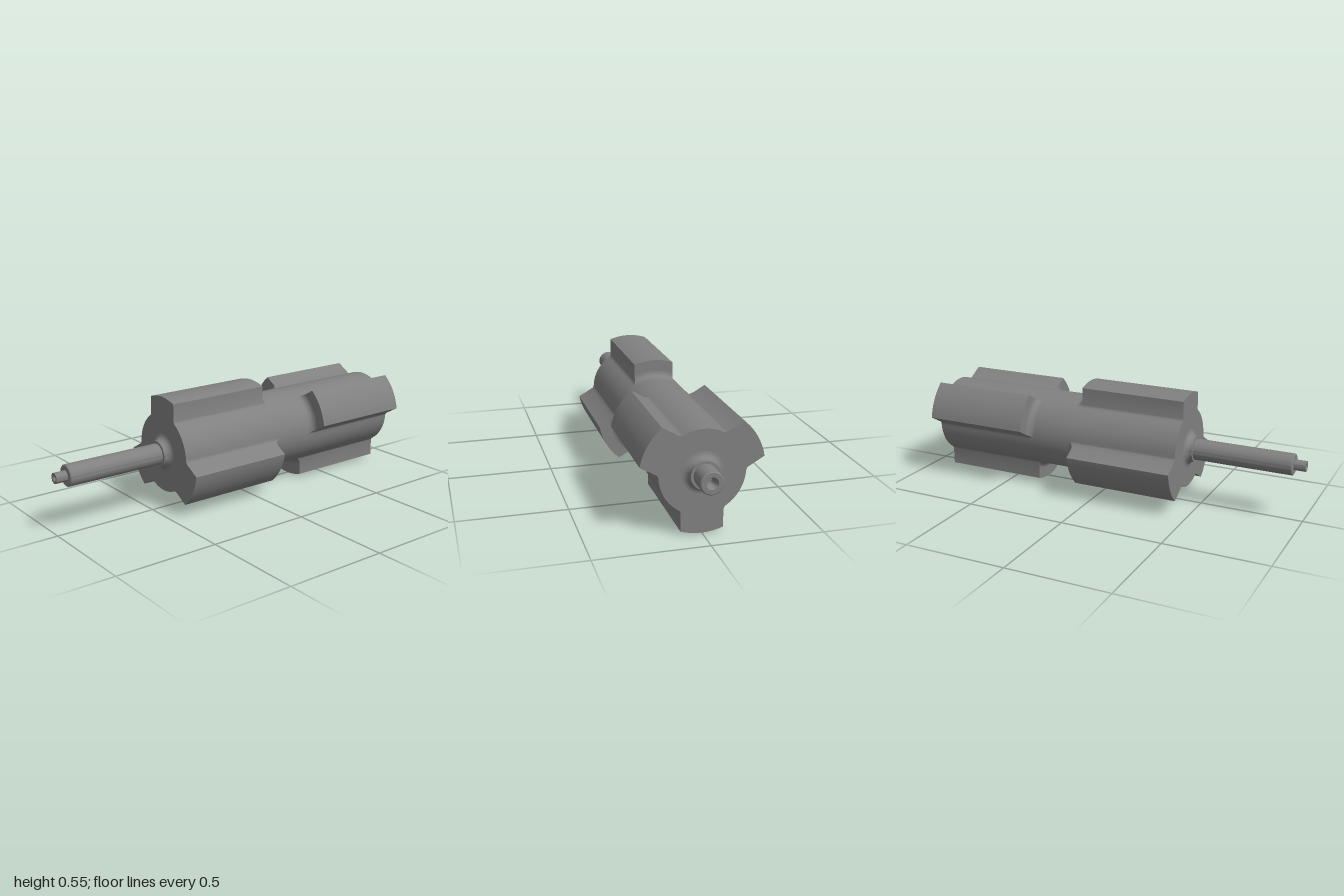
import * as THREE from 'three';
import { toCreasedNormals } from 'three/addons/utils/BufferGeometryUtils.js';

const OUTER = 0.273;    // lobe tip radius, also the height of the axis
const CORE = 0.19;      // core radius
const HALF = 0.094;     // half width of a lobe
const SIDE = 0.02;      // fillet between lobe side and core
const END = 0.03;       // fillet between lobe end and core

// Positions of the section faces along the axis
const FRONT = 0.432, FRONT_INNER = -0.095, REAR_INNER = -0.349, REAR = -0.874;

const material = new THREE.MeshStandardMaterial({ color: 0x808080 });
const deg = THREE.MathUtils.degToRad;

function add(parent, name, geometry) {
  const mesh = new THREE.Mesh(toCreasedNormals(geometry, 0.5), material);
  mesh.name = name;
  parent.add(mesh);
}

// Half angle a lobe covers at radius r, flaring out near the core
const filletDist = CORE + SIDE;
const filletAngle = Math.asin((HALF + SIDE) / filletDist);
const filletTop = Math.hypot(filletDist * Math.cos(filletAngle), HALF);
function halfAngle(r) {
  if (r >= filletTop) return Math.asin(HALF / r);
  const c = (r * r + filletDist ** 2 - SIDE ** 2) / (2 * r * filletDist);
  return filletAngle - Math.acos(Math.min(1, c));
}

// Outline of the core with three lobes
function lobedShape(angles) {
  const points = [];
  const polar = (r, a) => points.push(new THREE.Vector2(r * Math.cos(a), r * Math.sin(a)));
  const sideRadii = [0, 0.08, 0.3, 0.6, 1].map(t => CORE + t * (filletTop - CORE));
  const root = halfAngle(CORE), tip = halfAngle(OUTER);
  for (const a of angles) {
    for (const r of sideRadii) polar(r, a - halfAngle(r));
    for (let i = 0; i <= 10; i++) polar(OUTER, a + tip * (i / 5 - 1));
    for (const r of [...sideRadii].reverse()) polar(r, a + halfAngle(r));
    const gap = deg(120) - 2 * root;
    for (let i = 1; i < 10; i++) polar(CORE, a + root + gap * i / 10);
  }
  return new THREE.Shape(points);
}

// Concave fillet from a lobe's inner end down to the core, with closed sides
function endFillet(a, z0, dir) {
  const cols = 14, rows = 8;
  const geo = new THREE.PlaneGeometry(1, 1, cols, rows);
  const pos = geo.attributes.position;
  for (let i = 0; i < pos.count; i++) {
    const j = i % (cols + 1);
    const t = (pos.getY(i) + 0.5) * Math.PI / 2;
    const u = THREE.MathUtils.clamp((j - 1) / (cols - 2), 0, 1) * 2 - 1;
    const r = CORE + END * (1 - Math.cos(t));
    const z = j === 0 || j === cols ? 0 : END * (1 - Math.sin(t));
    const angle = a - dir * u * halfAngle(r);
    pos.setXYZ(i, r * Math.cos(angle), r * Math.sin(angle), z0 + dir * z);
  }
  return geo;
}

function lobedSection(name, zBack, zFront, firstAngle, innerZ, dir) {
  const section = new THREE.Group();
  section.name = name;
  const angles = [0, 120, 240].map(d => deg(firstAngle + d));
  const body = new THREE.ExtrudeGeometry(lobedShape(angles), { depth: zFront - zBack, bevelEnabled: false });
  add(section, name + 'Body', body.translate(0, 0, zBack));
  for (const a of angles) add(section, name + 'EndFillet', endFillet(a, innerZ, dir));
  return section;
}

// Quarter-round flare where a shaft boss meets the rotor face, from boss outwards
function flare(z, dir) {
  const list = [];
  for (let i = 0; i <= 6; i++) {
    const t = i / 6 * Math.PI / 2;
    list.push([0.093 - 0.03 * Math.cos(t), z + dir * 0.03 * (1 - Math.sin(t))]);
  }
  return list;
}

export function createModel() {
  const model = new THREE.Group();
  model.name = 'rotor';
  const rotor = new THREE.Group();
  rotor.name = 'rotorAssembly';
  rotor.position.y = OUTER;
  model.add(rotor);

  // Two lobed sections, turned 60 degrees from each other
  rotor.add(lobedSection('frontLobes', FRONT_INNER, FRONT, 90, FRONT_INNER, -1));
  rotor.add(lobedSection('rearLobes', REAR, REAR_INNER, 30, REAR_INNER, 1));

  // Plain core between the sections
  const core = new THREE.CylinderGeometry(CORE, CORE, FRONT_INNER - REAR_INNER, 64, 1, true);
  add(rotor, 'middleCore', core.rotateX(Math.PI / 2).translate(0, 0, (FRONT_INNER + REAR_INNER) / 2));

  // Stepped shaft with bosses and centre holes at both ends
  const profile = [
    [0, -0.95], [0.014, -0.95], [0.014, -0.975], [0.027, -1], [0.047, -1], [0.051, -0.996],
    [0.051, -0.91], [0.063, -0.91], ...flare(REAR, -1),
    ...flare(FRONT, 1).reverse(), [0.063, 0.467], [0.051, 0.467],
    [0.051, 0.941], [0.047, 0.945], [0.025, 0.945], [0.025, 1],
    [0.013, 1], [0.008, 0.99], [0.008, 0.97], [0, 0.97],
  ].map(([r, z]) => new THREE.Vector2(r, z));
  add(rotor, 'shaft', new THREE.LatheGeometry(profile, 48).rotateX(Math.PI / 2));

  return model;
}
